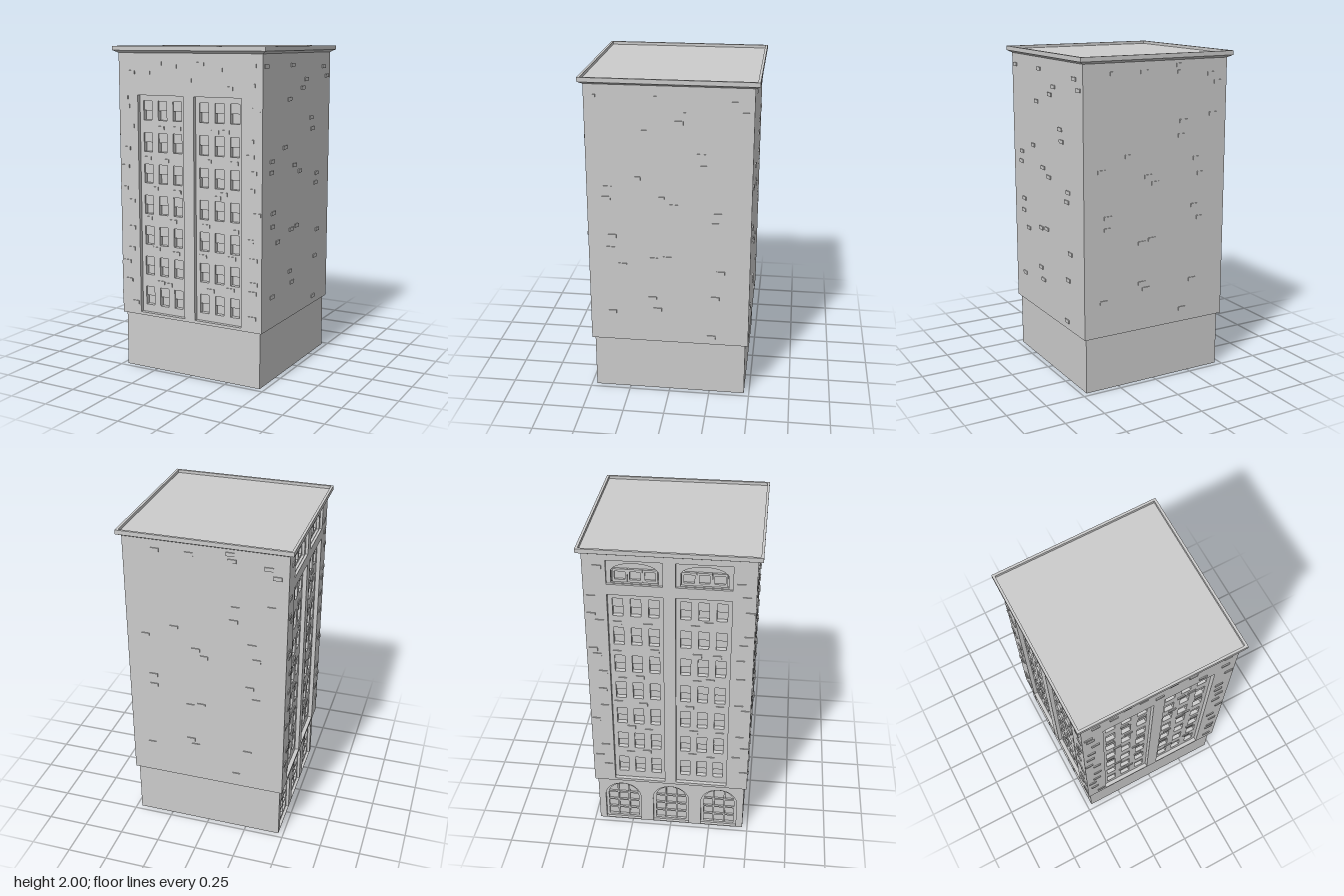
import * as THREE from 'three';
import { mergeGeometries } from 'three/addons/utils/BufferGeometryUtils.js';

const mat = new THREE.MeshStandardMaterial({ color: 0xcccccc, flatShading: true, side: THREE.DoubleSide });
const HALF = 0.485, BASE = 0.468, BASE_H = 0.345, TOP = 1.965;
const PANEL_X = 0.194, PANEL_W = 0.317, PANEL_Y0 = 0.363, PANEL_Y1 = 1.71;
const COLS = [-0.103, 0, 0.103], ROWS = 7, ROW_Y = 0.41, ROW_STEP = 0.1917;
const WIN_W = 0.06, WIN_H = 0.115, RECESS = 0.025;

function add(parent, name, geo, x = 0, y = 0, z = 0) {
  const mesh = new THREE.Mesh(geo, mat);
  mesh.name = name;
  mesh.position.set(x, y, z);
  parent.add(mesh);
  return mesh;
}

// Box geometry already moved to its centre, ready for merging
const boxAt = (w, h, d, x, y, z) => new THREE.BoxGeometry(w, h, d).translate(x, y, z);

function rect(x0, y0, x1, y1) {
  return new THREE.Shape([[x0, y0], [x1, y0], [x1, y1], [x0, y1]].map(p => new THREE.Vector2(...p)));
}

function arch(cx, w, y0, spring, rise) {
  const s = new THREE.Shape();
  s.moveTo(cx - w / 2, y0);
  s.lineTo(cx + w / 2, y0);
  s.lineTo(cx + w / 2, spring);
  s.absellipse(cx, spring, w / 2, rise, 0, Math.PI, false);
  s.closePath();
  return s;
}

// Slab with holes whose front lies at z = front
function slab(shape, holes, front, depth) {
  shape.holes.push(...holes);
  return new THREE.ExtrudeGeometry(shape, { depth, bevelEnabled: false, curveSegments: 10 })
    .translate(0, 0, front - depth);
}

// Square ring lying flat
function ring(outer, inner, y, h) {
  const geo = slab(rect(-outer, -outer, outer, outer), [rect(-inner, -inner, inner, inner)], h, h);
  return geo.rotateX(-Math.PI / 2).translate(0, y, 0);
}

function seeded(seed) {
  return () => (seed = (seed * 16807) % 2147483647) / 2147483647;
}

// Raised bricks from [x, y, wall depth] positions
function bricks(parent, spots) {
  add(parent, 'raisedBricks', mergeGeometries(
    spots.map(([x, y, z = 0]) => boxAt(0.05, 0.022, 0.012, x, y, z))));
}

// Tall recessed panel with seven rows of sash windows
function windowPanel(parent, cx) {
  const holes = [], sashes = [], panes = [];
  for (let r = 0; r < ROWS; r++) for (const c of COLS) {
    const x = cx + c, y = ROW_Y + r * ROW_STEP;
    holes.push(rect(x - WIN_W / 2, y, x + WIN_W / 2, y + WIN_H));
    sashes.push(boxAt(WIN_W, WIN_H / 2, 0.012, x, y + WIN_H * 0.75, -RECESS - 0.014));
    panes.push(boxAt(WIN_W, WIN_H, 0.004, x, y + WIN_H / 2, -RECESS - 0.032));
  }
  const edge = rect(cx - PANEL_W / 2, PANEL_Y0, cx + PANEL_W / 2, PANEL_Y1);
  add(parent, 'windowPanel', slab(edge, holes, -RECESS, 0.03));
  add(parent, 'upperSashes', mergeGeometries(sashes));
  add(parent, 'windowPanes', mergeGeometries(panes));
}

// Shallow arched triple window under the cornice
function atticWindow(parent, cx) {
  const y0 = 1.76, y1 = 1.925, w = PANEL_W;
  add(parent, 'atticSurround', slab(rect(cx - w / 2, y0, cx + w / 2, y1),
    [arch(cx, w - 0.05, y0 + 0.02, 1.85, 0.055)], -0.015, 0.02));
  add(parent, 'atticGlass', new THREE.ShapeGeometry(arch(cx, w - 0.05, y0 + 0.02, 1.85, 0.055)), 0, 0, -0.045);
  const frames = COLS.map(c => slab(rect(cx + c * 0.83 - 0.042, y0 + 0.02, cx + c * 0.83 + 0.042, 1.86),
    [rect(cx + c * 0.83 - 0.03, y0 + 0.035, cx + c * 0.83 + 0.03, 1.845)], -0.03, 0.014));
  add(parent, 'atticFrames', mergeGeometries(frames));
  add(parent, 'atticSill', boxAt(w, 0.016, 0.03, cx, y0 + 0.008, -0.015));
}

// Wall with two tall window panels, facing +z with its surface at z = 0
function facade(name, attic, seed) {
  const g = new THREE.Group();
  g.name = name;
  const holes = [];
  for (const cx of [-PANEL_X, PANEL_X]) {
    holes.push(rect(cx - PANEL_W / 2, PANEL_Y0, cx + PANEL_W / 2, PANEL_Y1));
    windowPanel(g, cx);
    if (attic) {
      holes.push(rect(cx - PANEL_W / 2, 1.76, cx + PANEL_W / 2, 1.925));
      atticWindow(g, cx);
    }
  }
  add(g, 'wall', slab(rect(-HALF, BASE_H, HALF, TOP), holes, 0, RECESS));

  // Bricks on the side margins, above the panels and between window rows
  const rnd = seeded(seed), spots = [];
  for (const side of [-1, 1]) for (let i = 0; i < 13; i++)
    spots.push([side * (0.39 + rnd() * 0.068), 0.39 + (i + rnd() * 0.8) * 0.118]);
  if (!attic) for (let i = 0; i < 7; i++) spots.push([-0.33 + i * 0.1 + rnd() * 0.05, 1.75 + rnd() * 0.18]);
  for (let r = 0; r < ROWS - 1; r++) for (const cx of [-PANEL_X, PANEL_X]) for (let i = 0; i < 2; i++)
    spots.push([cx - 0.12 + i * 0.12 + rnd() * 0.11, ROW_Y + r * ROW_STEP + 0.135 + rnd() * 0.035, -RECESS]);
  bricks(g, spots);
  return g;
}

// Ground floor with three arched, glazed openings
function arcade() {
  const g = new THREE.Group();
  g.name = 'groundFloorArcade';
  const W = 0.23, SPRING = 0.2, RISE = 0.105, holes = [], bars = [];
  for (const cx of [-0.31, 0, 0.31]) {
    holes.push(arch(cx, W, 0.005, SPRING, RISE));
    add(g, 'archFrame', slab(arch(cx, W, 0.005, SPRING, RISE),
      [arch(cx, W - 0.035, 0.02, SPRING, RISE - 0.018)], -0.018, 0.016));
    add(g, 'archGlass', new THREE.ShapeGeometry(arch(cx, W, 0.005, SPRING, RISE)), 0, 0, -0.036);
    for (const s of [-1, 1]) bars.push(boxAt(0.01, 0.26, 0.012, cx + s * 0.035, 0.145, -0.028));
    for (const y of [0.08, 0.145, 0.21]) bars.push(boxAt(W - 0.03, 0.01, 0.012, cx, y, -0.028));
  }
  add(g, 'arcadeWall', slab(rect(-BASE, 0, BASE, BASE_H), holes, 0, 0.03));
  add(g, 'glazingBars', mergeGeometries(bars));
  return g;
}

// Raised bricks on the plain walls, as [across, height]
const EAST = [[-.44, 1.89], [-.09, 1.89], [.11, 1.8], [.38, 1.87], [.43, 1.81], [.06, 1.75], [.19, 1.56],
  [.21, 1.49], [-.13, 1.69], [-.19, 1.41], [-.36, 1.345], [-.37, 1.28], [-.05, 1.29], [.03, 1.245],
  [.29, 1.2], [.27, 1.14], [-.01, .91], [-.09, .9], [.31, .83], [-.34, 1.04], [-.35, .96], [-.28, .855],
  [.28, .66], [-.1, .64], [-.07, .565], [.26, .395], [-.35, .535]];
const BACK = [[-.29, 1.9], [-.09, 1.9], [.15, 1.93], [.37, 1.87], [.16, 1.89], [.42, 1.82], [-.37, 1.345],
  [-.19, 1.42], [.18, 1.6], [.39, 1.63], [.17, 1.515], [-.06, 1.29], [-.01, 1.245], [-.33, 1.07],
  [-.33, 1], [-.1, .89], [-.03, .905], [.28, 1.37], [.31, 1.275], [.27, 1.08], [.31, 1], [-.36, .56],
  [-.1, .64], [-.07, .6], [.26, .61], [.19, .43]];

function plainWall(name, spots) {
  const g = new THREE.Group();
  g.name = name;
  add(g, 'wall', new THREE.PlaneGeometry(HALF * 2, TOP - BASE_H), 0, (TOP + BASE_H) / 2, 0);
  bricks(g, spots);
  return g;
}

// Turns a wall about y and pushes it out to its side
function place(parent, wall, angle, dist) {
  wall.rotation.y = angle;
  wall.position.set(Math.sin(angle) * dist, 0, Math.cos(angle) * dist);
  parent.add(wall);
}

export function createModel() {
  const model = new THREE.Group();
  model.name = 'apartmentBuilding';

  // Upper storeys
  place(model, facade('frontFacade', false, 71), 0, HALF);
  place(model, facade('streetFacade', true, 402), -Math.PI / 2, HALF);
  place(model, plainWall('sideWall', EAST), Math.PI / 2, HALF);
  place(model, plainWall('backWall', BACK), Math.PI, HALF);

  // Ground floor, open underneath
  place(model, arcade(), -Math.PI / 2, BASE);
  for (const a of [0, Math.PI / 2, Math.PI]) {
    const g = new THREE.Group();
    g.name = 'groundFloorWall';
    add(g, 'wall', new THREE.PlaneGeometry(BASE * 2, BASE_H), 0, BASE_H / 2, 0);
    place(model, g, a, BASE);
  }
  add(model, 'overhangSoffit', ring(HALF, BASE - 0.005, BASE_H, 0.003));

  // Roof and cornice
  const R2 = Math.SQRT2;
  add(model, 'corniceSlope', new THREE.CylinderGeometry(0.512 * R2, HALF * R2, 0.015, 4, 1, true)
    .rotateY(Math.PI / 4), 0, 1.967, 0);
  add(model, 'corniceRim', ring(0.512, 0.497, 1.974, 0.026));
  add(model, 'roof', new THREE.PlaneGeometry(1, 1).rotateX(-Math.PI / 2), 0, 1.982, 0);
  return model;
}
